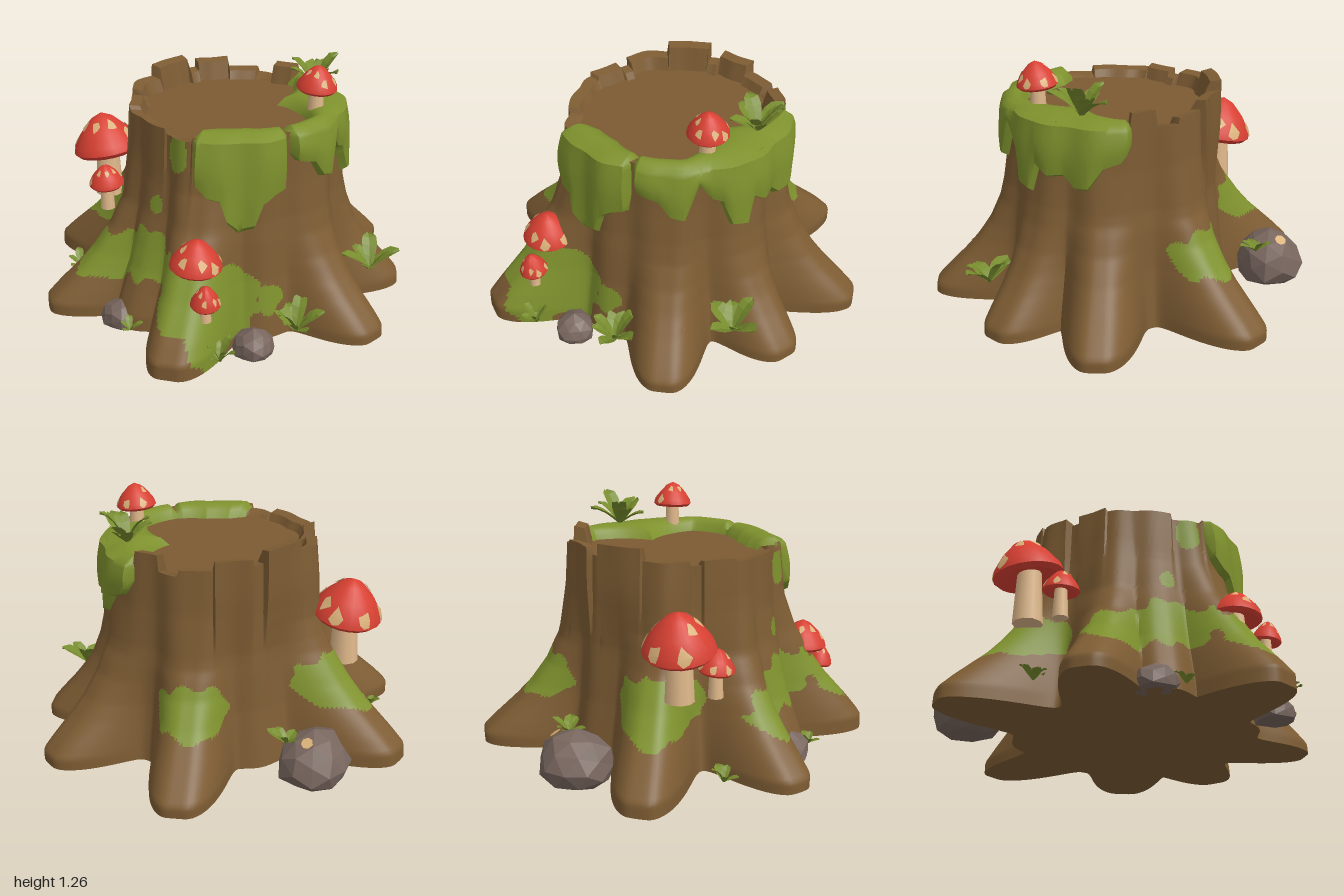
import * as THREE from 'three';
import { toCreasedNormals } from 'three/addons/utils/BufferGeometryUtils.js';

const mat = (name, color, extra = {}) => {
  const m = new THREE.MeshStandardMaterial({ color, ...extra });
  m.name = name;
  return m;
};
const bark = mat('bark', 0x7d5c33);
const wood = mat('cut wood', 0x7b5a33);
const moss = mat('moss', 0x7e912d, { side: THREE.DoubleSide });
const leafGreen = mat('leaf green', 0x778c2d, { side: THREE.DoubleSide, flatShading: true });
const red = mat('cap red', 0xd84032);
const cream = mat('cream spots', 0xd9b078, { side: THREE.DoubleSide });
const stemMat = mat('stem', 0xe0b98b);
const stone = mat('stone', 0x78665e, { flatShading: true });

const CX = 0.08, CZ = -0.03, RAD = Math.PI / 180;

// piecewise linear lookup in [input, output] pairs
function lerp(pts, t) {
  if (t <= pts[0][0]) return pts[0][1];
  for (let i = 1; i < pts.length; i++) {
    const [a, va] = pts[i - 1], [b, vb] = pts[i];
    if (t <= b) return va + (vb - va) * (t - a) / (b - a);
  }
  return pts[pts.length - 1][1];
}
const wrap = (a) => Math.atan2(Math.sin(a), Math.cos(a));

function mesh(name, geo, material, parent) {
  const m = new THREE.Mesh(geo, material);
  m.name = name;
  parent.add(m);
  return m;
}

// (nu+1) x (nv+1) sheet; pick(i, j) = 1 sends a triangle to the second material
function sheet(nu, nv, point, pick = () => 0) {
  const pos = [], tris = [[], []], w = nu + 1;
  for (let j = 0; j <= nv; j++) for (let i = 0; i <= nu; i++) pos.push(...point(i, j));
  for (let j = 0; j < nv; j++) for (let i = 0; i < nu; i++) {
    const a = j * w + i, b = a + 1, c = b + w, d = a + w;
    tris[pick(i + 0.67, j + 0.33)].push(a, b, c);
    tris[pick(i + 0.33, j + 0.67)].push(a, c, d);
  }
  const g = new THREE.BufferGeometry();
  g.setAttribute('position', new THREE.Float32BufferAttribute(pos, 3));
  g.setIndex([...tris[0], ...tris[1]]);
  g.addGroup(0, tris[0].length, 0);
  g.addGroup(tris[0].length, tris[1].length, 1);
  return g;
}

// Stump surface: angle 0 faces the front, 90 degrees faces +x
const trunkR = [[0, 0.62], [0.3, 0.56], [0.6, 0.52], [0.8, 0.51], [1.1, 0.505]];
const rootFade = [[0, 0.98], [0.05, 1], [0.1, 0.88], [0.2, 0.61], [0.27, 0.45], [0.38, 0.25], [0.5, 0.12], [0.75, 0.04], [1, 0]];
// roots: tip x, tip z, height factor; kept as angle, length, height factor
const roots = [[-0.38, -0.95, 1.1], [0.43, -0.95, 1.1], [0.82, -0.52, 1], [1, 0.12, 1], [0.35, 0.97, 1.5], [-0.12, 0.71, 1.5],
  [-0.55, 0.77, 1.15], [-1, 0.1, 1.4]].map(([x, z, h]) => [Math.atan2(x - CX, z - CZ), Math.hypot(x - CX, z - CZ), h]);
// bark planks around the rim: start angle, top height, outward step
const planks = [[-180, 1.09, 0], [-172, 1.01, 0], [-160, 1.04, 0], [-142, 1.09, 0.03], [-122, 1.05, 0], [-115, 1.12, 0.035],
  [-90, 1.06, 0.025], [-65, 1.03, -0.01], [-58, 1.055, 0.01], [-40, 1.035, 0], [-5, 1.005, -0.01], [12, 1.03, 0], [174, 1.09, 0]];
const plankAt = (a) => planks.filter((p) => p[0] <= wrap(a) / RAD + 0.01).pop() || planks[0];

function radius(a, y) {
  let r = lerp(trunkR, y), ext = 0;
  for (const [ra, len, h] of roots) {
    const w = 1 - THREE.MathUtils.smoothstep(Math.abs(wrap(a - ra)), 0.04, 0.39);
    ext = Math.max(ext, w * (len - 0.62) * lerp(rootFade, y / h));
  }
  const flute = 0.008 * Math.sin(9 * a + 1) + 0.005 * Math.sin(17 * a);
  r *= 1 + 0.06 * Math.abs(Math.cos(a)) * Math.min(1, y * 2);
  return r + ext + flute + plankAt(a)[2] * THREE.MathUtils.smoothstep(y, 0.5, 0.95);
}
const polar = (a, r, y) => [CX + r * Math.sin(a), y, CZ + r * Math.cos(a)];

// flat moss areas on the roots: angle, height, angular and vertical half size
const mossSpots = [[-80, 0.38, 22, 0.13], [-152, 0.37, 18, 0.11], [-9, 0.38, 18, 0.13], [19, 0.32, 15, 0.14],
  [-31, 0.31, 14, 0.11], [31, 0.21, 13, 0.2], [26, 0.12, 7, 0.08], [50, 0.2, 6, 0.08], [-10, 0.64, 4, 0.045], [3, 0.92, 6, 0.09]];
function isMoss(a, y) {
  const edge = 1 + 0.2 * Math.sin(a * 31 + y * 9) + 0.15 * Math.sin(y * 50 + a * 17);
  return mossSpots.some(([d, h, w, v]) => (wrap(a - d * RAD) / RAD / w) ** 2 + ((y - h) / v) ** 2 < edge) ? 1 : 0;
}

function addStump(g) {
  const N = 360, M = 66;
  const rowY = (a, j) => j <= 61 ? 0.015 * (j - 1) : 0.9 + (plankAt(a)[1] - 0.9) * (j - 61) / 3;
  const geo = sheet(N, M, (i, j) => {
    const a = (i % N) * RAD;
    if (j === 0) return [CX, 0, CZ];
    if (j <= 64) { const y = rowY(a, j); return polar(a, radius(a, y), y); }
    const top = plankAt(a)[1], r = radius(a, top);
    return j === 65 ? polar(a, r - 0.055, top - 0.01) : polar(a, r - 0.085, 0.97);
  }, (i, j) => j > 1 && j < 64 ? isMoss(i * RAD, rowY(i * RAD, j)) : 0);
  mesh('stumpWithRoots', toCreasedNormals(geo, 0.7), [bark, moss], g);
  const disc = mesh('cutTop', new THREE.CircleGeometry(0.49, 48).rotateX(-Math.PI / 2), wood, g);
  disc.position.set(CX, 0.985, CZ);
}

// Thick moss hanging over the rim; drips = [angle, lower edge], reach = [angle, inner radius]
function addRimMoss(g, name, drips, reach) {
  const a0 = drips[0][0], a1 = drips[drips.length - 1][0], nu = Math.round(a1 - a0), nv = 16;
  const geo = sheet(nu, nv, (i, j) => {
    const u = i / nu, d = a0 + (a1 - a0) * u, a = d * RAD;
    const side = Math.min(1, Math.min(u, 1 - u) * (a1 - a0) / 4);
    if (j <= 10) {
      const v = j / 10, yb = lerp(drips, d), y = yb + (1.02 - yb) * v;
      const puff = j === 0 ? -0.02 : 0.035 + 0.015 * Math.sin(v * Math.PI);
      return polar(a, radius(a, y) + (puff + 0.02) * side - 0.02, y);
    }
    const v = (j - 10) / 6, r0 = radius(a, 1.02) + 0.03 * side;
    const y = j === nv ? 0.97 : 1.02 + 0.04 * side * Math.sin(v * Math.PI) - 0.015 * v;
    return polar(a, r0 + (lerp(reach, d) - r0) * v, y);
  });
  mesh(name, toCreasedNormals(geo, 0.8), moss, g);
}

// Mushrooms: cap outline as [height, radius]
const capOutline = [[0, 0.88], [0.1, 1], [0.27, 0.94], [0.58, 0.68], [0.87, 0.33], [1, 0]];
function addMushroom(g, x, z, base, capY, r, h, tiltX, tiltZ) {
  const m = new THREE.Group();
  m.name = 'mushroom';
  m.position.set(x, 0, z);
  g.add(m);
  const len = capY + h * 0.4 - base;
  const stem = mesh('stem', new THREE.CylinderGeometry(r * 0.32, r * 0.42, len, 10), stemMat, m);
  stem.position.y = base + len / 2;
  const cap = new THREE.Group();
  cap.name = 'cap';
  cap.position.y = capY;
  cap.rotation.set(tiltX, 0, tiltZ);
  m.add(cap);
  const pts = [[0.25, 0], ...capOutline].map(([y, q]) => new THREE.Vector2(q * r, y * h));
  mesh('capTop', toCreasedNormals(new THREE.LatheGeometry(pts, 20), 0.8), red, cap);
  for (let k = 0; k < 8; k++) {
    const phi0 = k * 2.4 + x * 5, y0 = [0.3, 0.72, 0.45][k % 3], size = [0.16, 0.19, 0.12][(k + 1) % 3];
    const geo = new THREE.CircleGeometry(1, 7), p = geo.attributes.position;
    for (let i = 0; i < p.count; i++) {
      const wob = 1 + 0.25 * Math.sin((i % 7) * 2.6 + k);
      const y = y0 + p.getY(i) * size * wob * 0.9;
      const phi = phi0 + p.getX(i) * size * wob / lerp(capOutline, y0), s = 1.03 * r * lerp(capOutline, y);
      p.setXYZ(i, Math.sin(phi) * s, y * h * 1.03, Math.cos(phi) * s);
    }
    geo.computeVertexNormals();
    mesh('capSpot', geo, cream, cap);
  }
}

// Leafy sprout: broad folded leaves that arch outward
function addPlant(g, x, y, z, size, n, lift, turn = 0) {
  const plant = new THREE.Group();
  plant.name = 'plant';
  plant.position.set(x, y, z);
  g.add(plant);
  const width = [[0, 0.12], [0.25, 0.26], [0.6, 0.38], [0.85, 0.27], [1, 0.06]];
  for (let k = 0; k < n; k++) {
    const len = size * (0.85 + 0.15 * Math.sin(k * 4.1)), up = lift * (0.5 + 0.9 * ((k * 0.618) % 1));
    const geo = sheet(2, 4, (i, j) => {
      const t = j / 4, s = i - 1;
      return [s * lerp(width, t) * len * 0.95, len * (up * Math.sin(t * 1.6) + 0.09 * Math.abs(s)), len * t];
    });
    geo.computeVertexNormals();
    mesh('leaf', geo, leafGreen, plant).rotation.y = turn + k * 2 * Math.PI / n + 0.3 * Math.sin(k * 2.3);
  }
}

function addRock(g, x, y, z, sx, sy, sz) {
  const geo = new THREE.IcosahedronGeometry(1, 1), p = geo.attributes.position;
  for (let i = 0; i < p.count; i++) {
    const [a, b, c] = [p.getX(i), p.getY(i), p.getZ(i)];
    const k = 1 + 0.07 * Math.sin(a * 5 + b * 3 + x * 9) + 0.05 * Math.sin(c * 6 - b * 4);
    p.setXYZ(i, a * k * sx, Math.max(b * k * sy, -y), c * k * sz);
  }
  geo.computeVertexNormals();
  mesh('rock', geo, stone, g).position.set(x, y, z);
}

export function createModel() {
  const g = new THREE.Group();
  g.name = 'mossyStump';
  addStump(g);

  addRimMoss(g, 'frontRimMoss',
    [[11, 0.95], [14, 0.8], [20, 0.73], [26, 0.71], [29, 0.6], [34, 0.54], [42, 0.56], [46, 0.68], [52, 0.72], [59, 0.74], [62, 0.9]],
    [[11, 0.44], [22, 0.38], [40, 0.37], [62, 0.42]]);
  addRimMoss(g, 'sideRimMoss',
    [[61, 0.93], [66, 0.88], [76, 0.85], [82, 0.76], [89, 0.74], [96, 0.94], [103, 0.84], [108, 0.82], [113, 0.67], [121, 0.65],
      [125, 0.8], [132, 0.75], [140, 0.76], [146, 0.7], [153, 0.71], [160, 0.82], [168, 0.85], [175, 0.95]],
    [[61, 0.42], [90, 0.42], [112, 0.3], [135, 0.2], [155, 0.34], [170, 0.45]]);

  addMushroom(g, -0.6, 0.19, 0.43, 0.665, 0.178, 0.22, 0, 0.18);
  addMushroom(g, -0.49, 0.34, 0.42, 0.55, 0.092, 0.12, 0.1, 0);
  addMushroom(g, 0.29, 0.64, 0.3, 0.43, 0.128, 0.155, 0, -0.08);
  addMushroom(g, 0.4, 0.72, 0.22, 0.3, 0.072, 0.115, 0.1, -0.1);
  addMushroom(g, 0.48, -0.14, 0.98, 1.13, 0.102, 0.13, 0, -0.1);

  addPlant(g, 0.33, 1.04, -0.4, 0.16, 8, 1.0);
  addPlant(g, 0.78, 0.17, -0.25, 0.15, 6, 0.9, 0.4);
  addPlant(g, -0.61, 0.2, -0.37, 0.1, 6, 0.7);
  addPlant(g, 0.67, 0.05, 0.33, 0.14, 8, 1.0, 0.9);
  addPlant(g, 0.49, 0.03, 0.73, 0.085, 7, 1.3);
  addPlant(g, -0.64, 0.05, 0.42, 0.085, 5, 0.9);
  addPlant(g, -0.04, 0.02, 0.74, 0.065, 5, 0.9);

  addRock(g, -0.72, 0.11, -0.29, 0.17, 0.16, 0.19);
  addRock(g, 0.55, 0.03, 0.53, 0.1, 0.09, 0.1);
  addRock(g, -0.15, 0.03, 0.66, 0.11, 0.09, 0.1);
  const lichen = mesh('rockSpot', new THREE.CircleGeometry(0.03, 7), cream, g);
  lichen.position.set(-0.74, 0.257, -0.39);
  lichen.lookAt(-0.79, 1.1, -0.95);
  return g;
}
